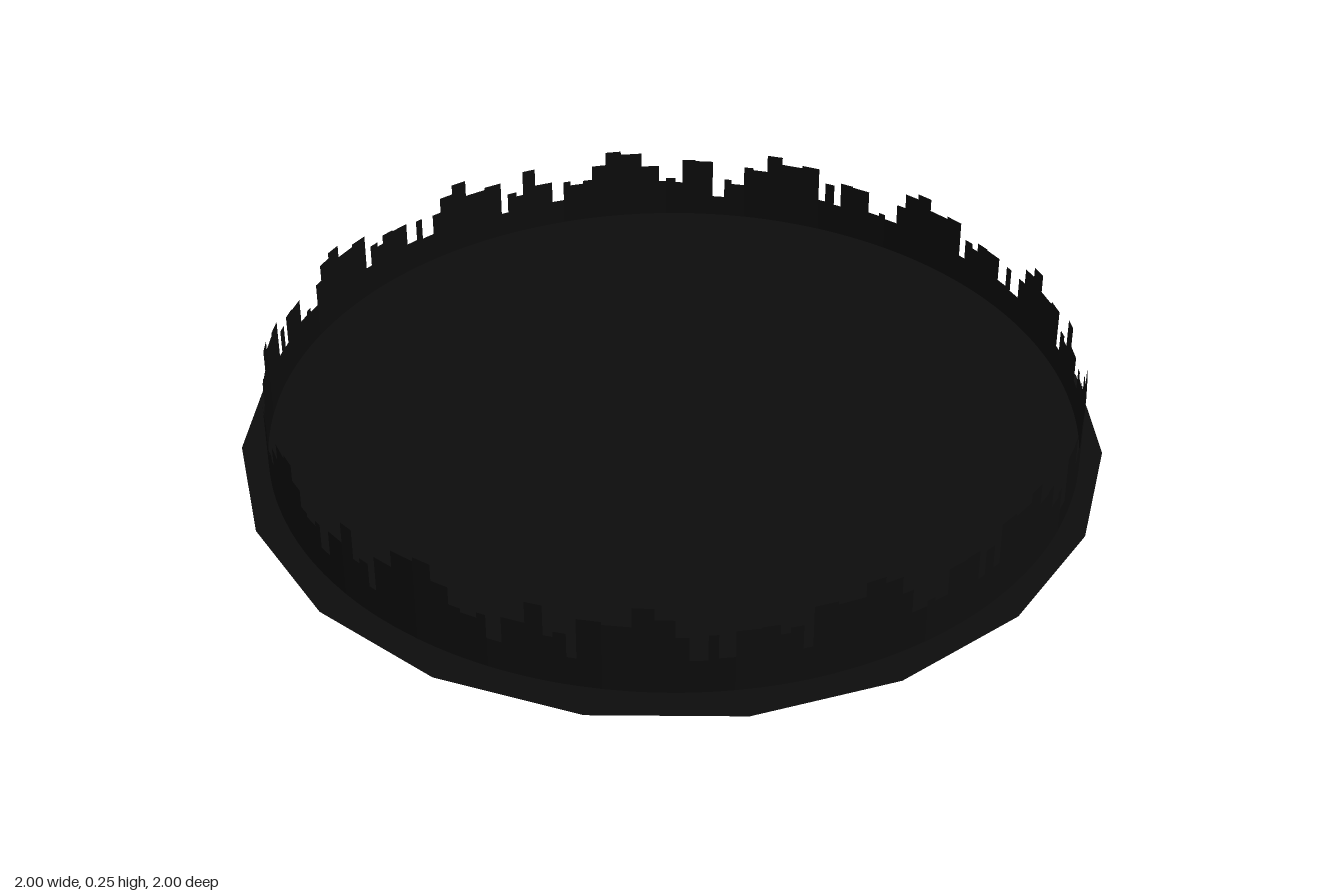
import * as THREE from 'three';

const RADIUS = 0.95;      // skyline radius at its foot
const REPEATS = 13;       // times the skyline pattern goes round

// One stretch of skyline: [width in degrees, roof height]
const SKYLINE = [
  [3, 0.215], [3.5, 0.22], [2.6, 0.248], [2.4, 0.215], [1.6, 0.185],
  [2.2, 0.14], [1.2, 0.165], [2, 0.12], [3, 0.195], [2.2, 0.21],
  [1.2, 0.15], [1.6, 0.175], [1.2, 0.13],
];

function createSkyline(material) {
  const positions = [];
  const indices = [];
  const total = SKYLINE.reduce((sum, [w]) => sum + w, 0);
  const scale = (Math.PI * 2) / (REPEATS * total);

  // Point on the slightly tapering ring wall
  const put = (angle, y) => {
    const r = RADIUS - 0.05 * y;
    positions.push(r * Math.sin(angle), y, r * Math.cos(angle));
  };

  let angle = THREE.MathUtils.degToRad(-11.5);
  for (let i = 0; i < REPEATS; i++) {
    SKYLINE.forEach(([width, height], j) => {
      const end = angle + width * scale;
      // Roofs vary a little from one stretch to the next
      const step = j === 2 ? 0 : 0.012 * (((i * 5 + j * 3) % 4) - 1.5);
      const top = Math.min(height + step, 0.25);
      const foot = (i + j) % 6 === 0 ? 0.012 : 0;
      const n = positions.length / 3;
      put(angle, foot);
      put(end, foot);
      put(end, top);
      put(angle, top);
      indices.push(n, n + 1, n + 2, n, n + 2, n + 3);
      angle = end;
    });
  }

  const geometry = new THREE.BufferGeometry();
  geometry.setAttribute('position', new THREE.Float32BufferAttribute(positions, 3));
  geometry.setIndex(indices);
  geometry.computeVertexNormals();
  const mesh = new THREE.Mesh(geometry, material);
  mesh.name = 'skylineRing';
  mesh.position.set(-0.005, 0, -0.02);
  return mesh;
}

export function createModel() {
  const model = new THREE.Group();
  model.name = 'skylineDisc';
  const material = new THREE.MeshStandardMaterial({ color: 0x0c0c0c, side: THREE.DoubleSide });

  // Flat twenty-sided ground sheet
  const ground = new THREE.Mesh(new THREE.CircleGeometry(1, 20).rotateX(-Math.PI / 2), material);
  ground.name = 'ground';
  ground.position.y = 0.043;
  model.add(ground);

  // Thin wall of stepped rooftops around the ground
  model.add(createSkyline(material));
  return model;
}
